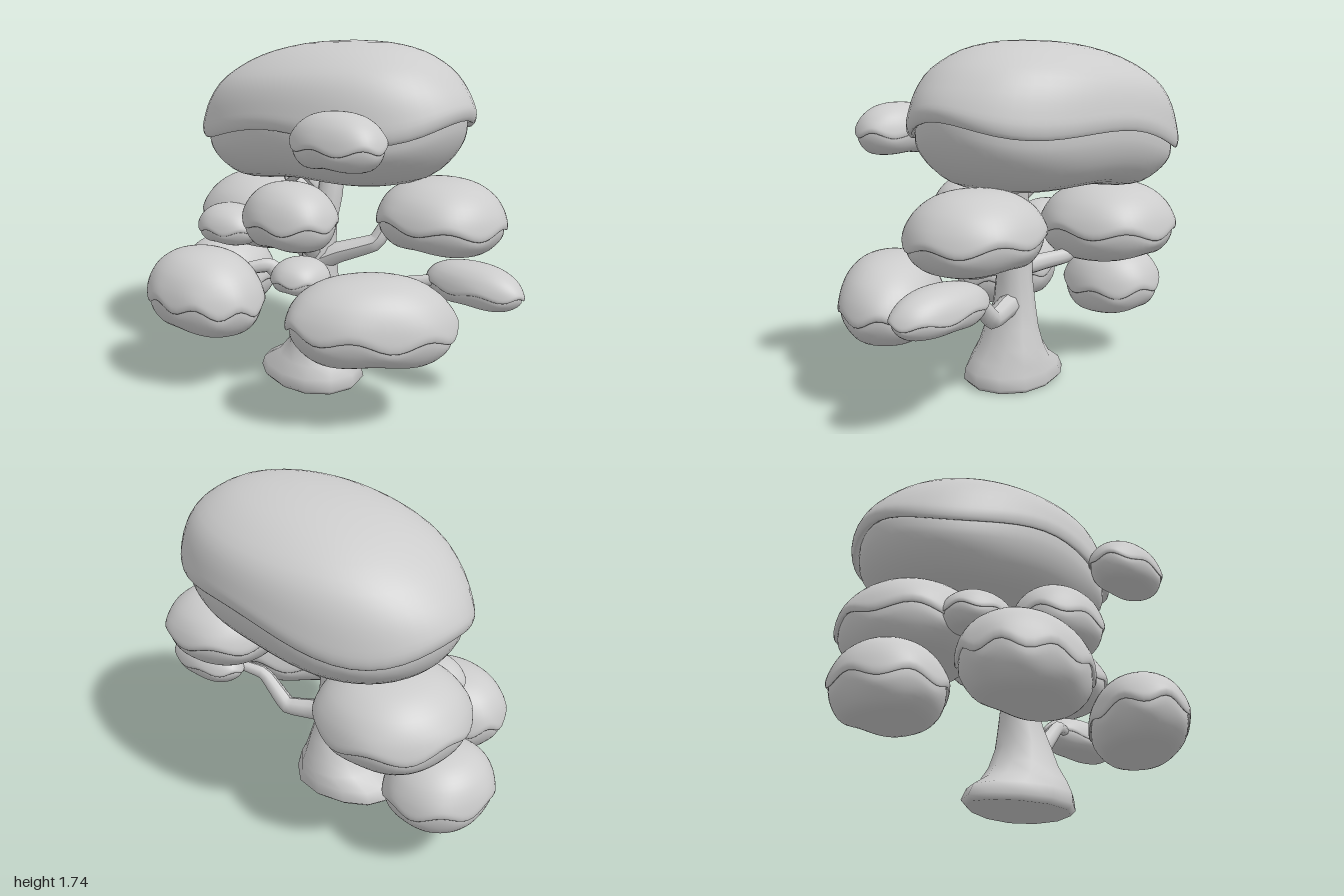
import * as THREE from 'three';
import { mergeVertices } from 'three/addons/utils/BufferGeometryUtils.js';

const material = new THREE.MeshStandardMaterial({ color: 0xcccccc, roughness: 0.9 });
const doubleSided = new THREE.MeshStandardMaterial({ color: 0xcccccc, roughness: 0.9, side: THREE.DoubleSide });

// Revolves a profile, moves every vertex by a rule, then welds and smooths it
function revolve(points, sides, rule) {
  const geo = new THREE.LatheGeometry(points, sides);
  const pos = geo.attributes.position;
  const v = new THREE.Vector3();
  for (let i = 0; i < pos.count; i++) {
    v.fromBufferAttribute(pos, i);
    rule(v, i % points.length);
    pos.setXYZ(i, v.x, v.y, v.z);
  }
  geo.deleteAttribute('uv');
  geo.deleteAttribute('normal');
  const welded = mergeVertices(geo, 1e-5);
  welded.computeVertexNormals();
  return welded;
}

const smooth = (pairs, n) =>
  new THREE.SplineCurve(pairs.map(([x, y]) => new THREE.Vector2(x, y))).getPoints(n);

// Unit profiles, bottom to top: inset underside, then overhanging cap
const underside = smooth([[0, 0], [0.4, 0.005], [0.69, 0.055], [0.85, 0.165], [0.935, 0.3], [0.945, 0.42]], 14);
const cap = smooth([[0.94, 0.41], [0.98, 0.385], [1, 0.43], [0.99, 0.5], [0.93, 0.63], [0.8, 0.78], [0.58, 0.91], [0.3, 0.98], [0, 1]], 24);
const clumpProfile = [...underside, ...cap];

// Foliage clump with a wavy seam between cap and underside
function clump({ name, at, size, yaw = 0, waves = 6, amp = 0.05, phase = 4.2, tilt = 0, lean = 0, full = 0 }) {
  const [w, h, d] = size;
  const geo = revolve(clumpProfile, 56, (v) => {
    const a = Math.atan2(v.z, v.x);
    const r = Math.hypot(v.x, v.z);
    const y = v.y;
    // The waves are strongest at the seam and fade towards both poles
    const fade = Math.exp(-Math.pow((y - 0.4) / 0.2, 2)) * r * r;
    const wave = Math.sin(waves * a + phase) + 0.35 * Math.sin(2 * a + phase * 2);
    // Shallow groove across the bottom
    const groove = 0.06 * Math.exp(-Math.pow(v.x / 0.35, 2)) * Math.max(0, 1 - y / 0.35);
    // Slightly squared outline seen from above, fuller shoulders front and back
    const square = 1 + 0.02 * Math.pow(Math.sin(2 * a), 2) * r;
    const shoulder = 1 + full * Math.exp(-Math.pow((y - 0.78) / 0.18, 2));
    v.y = (y + amp * wave * fade + groove + tilt * v.x * r) * h;
    v.x = (v.x * square + lean * Math.max(0, y - 0.4) * (1 - r)) * w;
    v.z *= d * square * shoulder;
  });
  const mesh = new THREE.Mesh(geo, material);
  mesh.name = name;
  mesh.position.set(...at);
  mesh.rotation.y = yaw;
  return mesh;
}

// Trunk from elliptical sections: [y, centre x, centre z, radius x, radius z]
function trunk() {
  const rows = [
    [0.01, -0.05, 0.03, 0, 0], [0.0, -0.05, 0.03, 0.275, 0.2], [0.025, -0.05, 0.03, 0.298, 0.225],
    [0.08, -0.04, 0.035, 0.28, 0.215], [0.14, -0.005, 0.02, 0.215, 0.2], [0.21, 0.005, 0.01, 0.165, 0.175],
    [0.31, 0.01, 0.005, 0.125, 0.15], [0.42, 0, 0, 0.1, 0.12], [0.56, 0, 0, 0.09, 0.1],
    [0.72, -0.01, 0, 0.09, 0.09], [0.84, 0.0, -0.01, 0.08, 0.08], [0.98, 0.03, -0.04, 0.065, 0.065],
    [1.2, 0.03, -0.08, 0.055, 0.055], [1.21, 0.03, -0.08, 0, 0],
  ];
  const points = rows.map((r) => new THREE.Vector2(r[3] ? 1 : 0, r[0]));
  const geo = revolve(points, 12, (v, row) => {
    const [y, cx, cz, rx, rz] = rows[row];
    // The root flare narrows towards the model's right
    const flare = 1 + 0.2 * v.x * Math.max(0, 1 - y / 0.4);
    v.x = cx + v.x * rx;
    v.z = cz + v.z * rz * flare;
  });
  const mesh = new THREE.Mesh(geo, material);
  mesh.name = 'trunk';
  return mesh;
}

// Tapered, kinked limb along a few points
function limb(name, path, r0, r1) {
  const curve = new THREE.CatmullRomCurve3(path.map((p) => new THREE.Vector3(...p)), false, 'catmullrom', 0.15);
  const n = 18, sides = 8;
  const geo = new THREE.TubeGeometry(curve, n, r0, sides, false);
  const pos = geo.attributes.position;
  const v = new THREE.Vector3();
  for (let i = 0; i < pos.count; i++) {
    const t = Math.floor(i / (sides + 1)) / n;
    const c = curve.getPointAt(t);
    v.fromBufferAttribute(pos, i).sub(c).multiplyScalar(1 + (r1 / r0 - 1) * t).add(c);
    pos.setXYZ(i, v.x, v.y, v.z);
  }
  geo.computeVertexNormals();
  const mesh = new THREE.Mesh(geo, doubleSided);
  mesh.name = name;
  return mesh;
}

export function createModel() {
  const model = new THREE.Group();
  model.name = 'tree';
  model.add(trunk());

  const branches = new THREE.Group();
  branches.name = 'branches';
  branches.add(
    limb('lowerLeftBranch', [[0.02, 0.44, -0.02], [0.13, 0.42, -0.05], [0.27, 0.41, -0.11], [0.42, 0.56, -0.14], [0.6, 0.6, -0.23]], 0.062, 0.025),
    limb('upperLeftBranch', [[0, 0.64, 0.03], [0.1, 0.69, -0.02], [0.26, 0.75, -0.12], [0.31, 0.88, -0.18]], 0.06, 0.035),
    limb('lowerRightBranch', [[0, 0.48, 0.02], [-0.1, 0.52, 0.12], [-0.17, 0.62, 0.2], [-0.27, 0.6, 0.3]], 0.055, 0.03),
    limb('upperRightBranch', [[0, 0.6, -0.01], [-0.15, 0.63, -0.08], [-0.27, 0.65, -0.13], [-0.34, 0.76, -0.15]], 0.05, 0.035),
    limb('frontBranch', [[0, 0.66, 0.02], [0.01, 0.74, 0.1], [0.02, 0.88, 0.2]], 0.05, 0.035),
    limb('crownTwig', [[0.02, 0.97, -0.04], [-0.08, 1.03, -0.05], [-0.18, 1.08, -0.06], [-0.28, 1.01, -0.08], [-0.36, 1.12, -0.1]], 0.04, 0.02)
  );
  model.add(branches);

  // Clumps: base centre, then [half width, height, half depth]
  const foliage = new THREE.Group();
  foliage.name = 'foliage';
  [
    { name: 'crown', at: [-0.07, 1.015, -0.175], size: [0.78, 0.725, 0.52], waves: 4, amp: 0.05, phase: 1.57, tilt: 0.07, lean: 0.3, full: 0.07 },
    { name: 'crownFrontClump', at: [0.42, 1.19, 0.38], size: [0.24, 0.26, 0.155] },
    { name: 'frontClump', at: [0.02, 0.75, 0.25], size: [0.25, 0.33, 0.2] },
    { name: 'upperLeftClump', at: [0.54, 0.725, -0.28], size: [0.32, 0.365, 0.305], phase: 2.2, tilt: -0.03 },
    { name: 'smallLeftClump', at: [0.74, 0.49, -0.27], size: [0.26, 0.21, 0.135], phase: 0.3, tilt: -0.06 },
    { name: 'lowerLeftClump', at: [0.555, 0.325, 0.3], size: [0.39, 0.405, 0.255], yaw: Math.PI / 4, waves: 7, phase: 1.1, tilt: -0.04 },
    { name: 'lowerRightClump', at: [-0.395, 0.3, 0.435], size: [0.328, 0.42, 0.258], waves: 8, phase: 5.8, tilt: -0.04 },
    { name: 'sideRightClump', at: [-0.745, 0.255, -0.06], size: [0.255, 0.385, 0.275], phase: 2.9, tilt: -0.03 },
    { name: 'upperRightClump', at: [-0.54, 0.61, -0.18], size: [0.36, 0.42, 0.36], phase: 0.9 },
    { name: 'smallRightClump', at: [-0.46, 0.69, 0.19], size: [0.185, 0.21, 0.15] },
    { name: 'smallFrontClump', at: [0.06, 0.53, 0.22], size: [0.14, 0.175, 0.15] },
  ].forEach((c) => foliage.add(clump(c)));
  model.add(foliage);
  return model;
}
